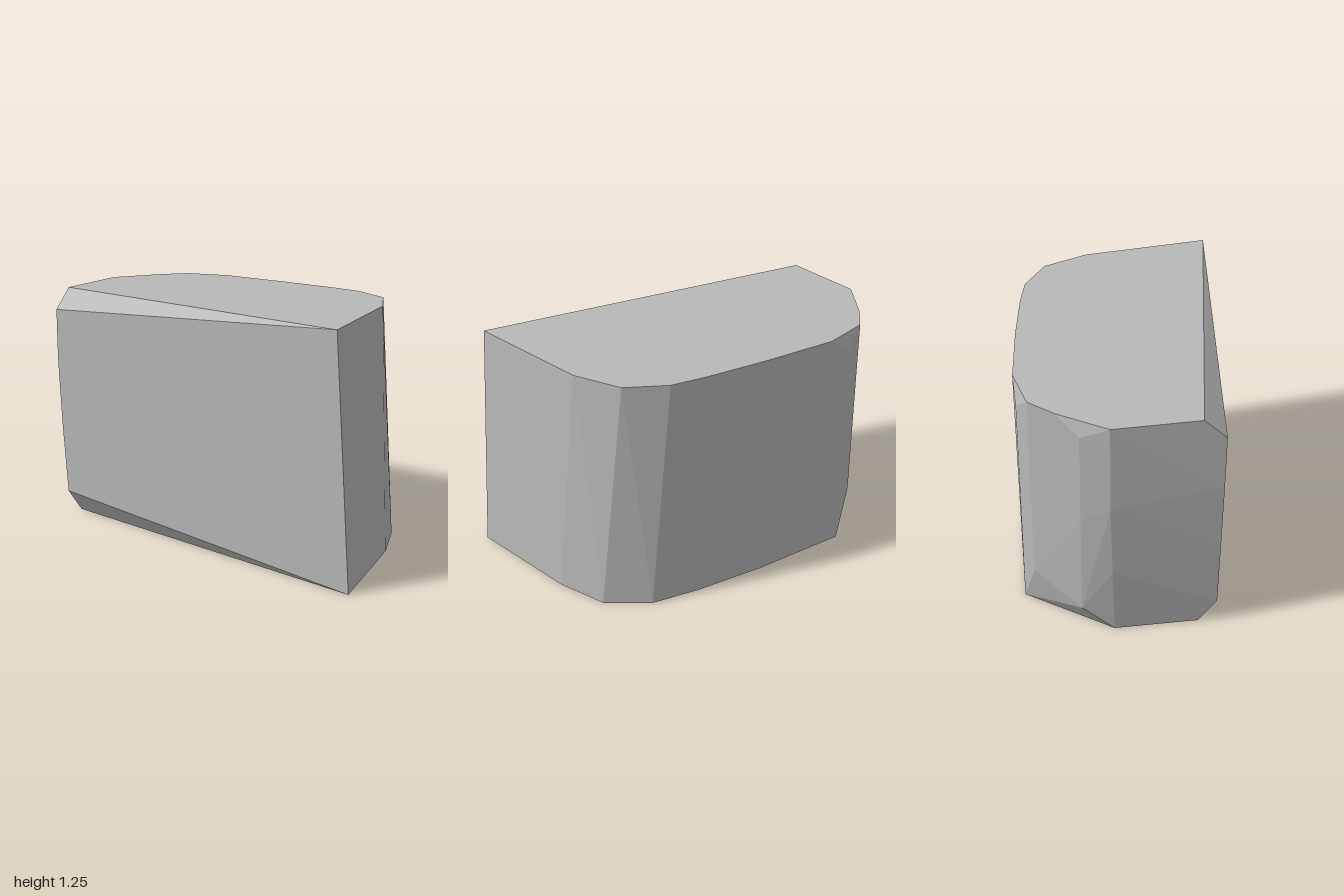
import * as THREE from 'three';
import { ConvexGeometry } from 'three/addons/geometries/ConvexGeometry.js';

export function createModel() {
  const group = new THREE.Group();
  group.name = 'stoneBlock';
  const stone = new THREE.MeshStandardMaterial({ color: 0xb8b8b8, flatShading: true });
  stone.name = 'grey stone';

  const height = 1.25;
  const corners = [];
  const add = (x, y, z) => corners.push(new THREE.Vector3(x, y, z));

  // Outline of the flat top, as x and z
  const top = [[0.91, 0.5], [0.73, -0.16], [0.59, -0.385], [0.38, -0.48], [0.2, -0.495], [-0.15, -0.5],
    [-0.54, -0.49], [-0.775, -0.41], [-0.87, -0.28], [-1, -0.03], [-0.93, 0.39]];
  // Outline of the flat base
  const base = [[1, 0.5], [0.83, -0.09], [0.71, -0.34], [0.49, -0.47], [0.23, -0.495], [-0.15, -0.5],
    [-0.67, -0.47], [-0.925, -0.01], [-0.87, 0.41]];
  top.forEach(([x, z]) => add(x, height, z));
  base.forEach(([x, z]) => add(x, 0, z));

  // Bowed front edge, set in from the top and base by long bevels
  [[-0.915, 1.145], [-0.917, 0.87], [-0.9, 0.5], [-0.873, 0.13]].forEach(([x, y]) => add(x, y, 0.5));

  // Rounded, chipped end: corners between the top and the base
  [[-1, 0.8, -0.03], [-0.975, 0.4, -0.02], [-0.95, 1.17, -0.17], [-0.952, 0.7, -0.17],
    [-0.93, 0.14, -0.17], [-0.775, 0.85, -0.41], [-0.775, 0.25, -0.41], [-0.67, 1.165, -0.47]]
    .forEach((p) => add(...p));

  const block = new THREE.Mesh(new ConvexGeometry(corners), stone);
  block.name = 'block';
  group.add(block);
  return group;
}
